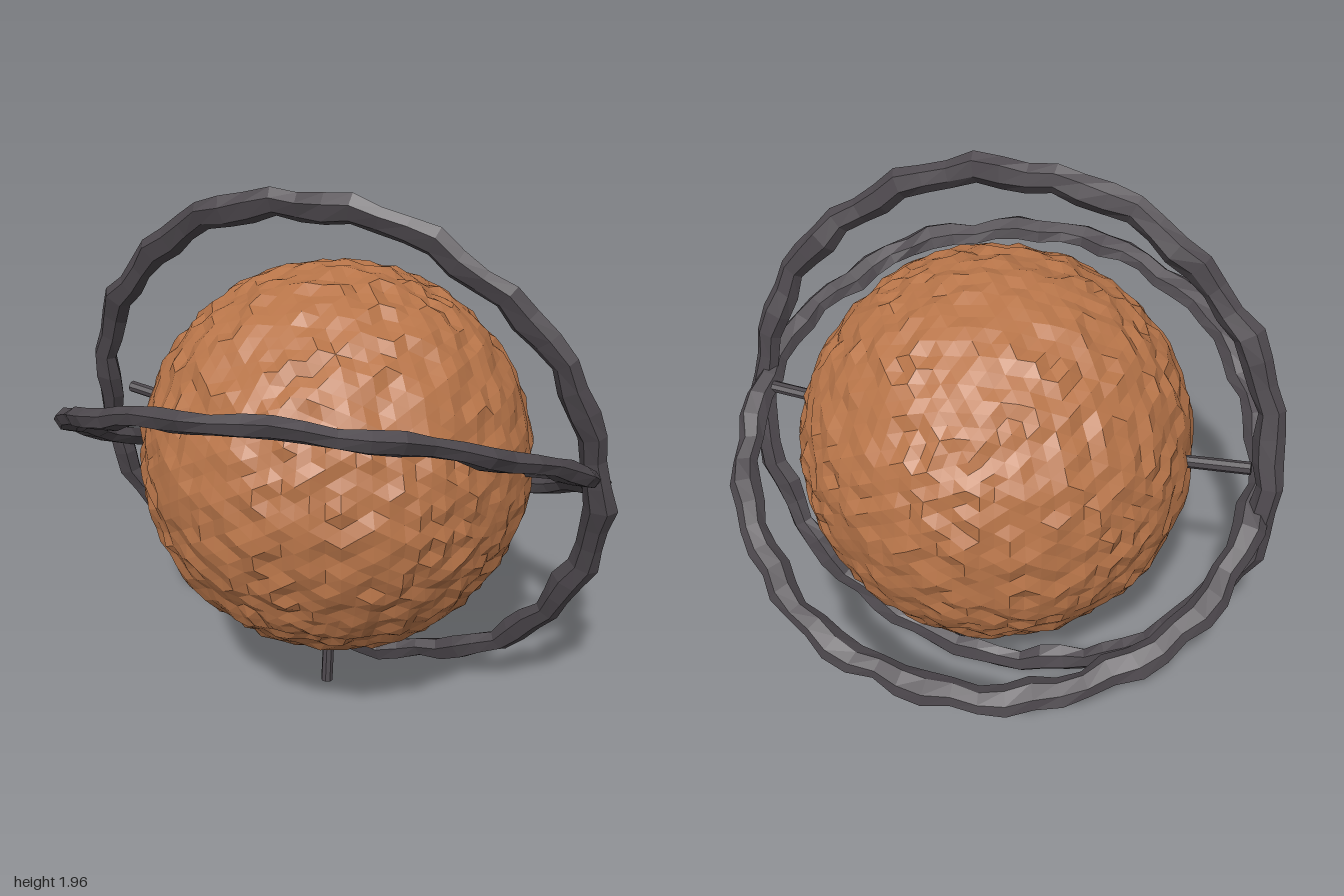
import * as THREE from 'three';

const copper = new THREE.MeshStandardMaterial({ color: 0xb87549, flatShading: true });
copper.name = 'copper rock';
const iron = new THREE.MeshStandardMaterial({ color: 0x4c474c, flatShading: true });
iron.name = 'dark iron';

const CENTRE = new THREE.Vector3(0.01, 1, -0.01);

// Repeatable noise in -1..1 from three numbers
function noise(a, b, c) {
  const s = Math.sin(a * 127.1 + b * 311.7 + c * 74.7) * 43758.5453;
  return 2 * (s - Math.floor(s)) - 1;
}

// Rough faceted ball: each corner is pushed in or out a little
function makeCore() {
  const geo = new THREE.IcosahedronGeometry(1, 15);
  const pos = geo.attributes.position;
  const v = new THREE.Vector3();
  for (let i = 0; i < pos.count; i++) {
    v.fromBufferAttribute(pos, i).normalize();
    const [a, b, c] = [v.x, v.y, v.z].map((n) => Math.round(n * 1000) / 10);
    v.multiplyScalar(0.69 + 0.012 * noise(a, b, c));
    pos.setXYZ(i, v.x, v.y, v.z);
  }
  geo.computeVertexNormals();
  const mesh = new THREE.Mesh(geo, copper);
  mesh.name = 'core';
  mesh.position.copy(CENTRE);
  return mesh;
}

// Lumpy hoop, wider than it is thick, lying across the given normal
function makeRing(name, radius, normal, seed) {
  const sides = 6, steps = 66;
  const geo = new THREE.TorusGeometry(radius, 0.04, sides, steps);
  const pos = geo.attributes.position;
  for (let j = 0; j <= sides; j++) {
    for (let i = 0; i <= steps; i++) {
      const t = (i / steps) * Math.PI * 2;
      const p = (j / sides) * Math.PI * 2;
      const k = i % steps, m = j % sides;
      const wobble = 0.009 * Math.sin(22 * t + seed) + 0.006 * Math.sin(9 * t + seed * 2);
      const swell = 1 + 0.12 * Math.sin(17 * t + seed) + 0.1 * noise(k, m, seed);
      const r = radius + wobble + 0.05 * swell * Math.cos(p);
      const z = 0.034 * swell * Math.sin(p) + 0.006 * Math.sin(13 * t + seed);
      pos.setXYZ(j * (steps + 1) + i, r * Math.cos(t), r * Math.sin(t), z);
    }
  }
  geo.computeVertexNormals();
  const mesh = new THREE.Mesh(geo, iron);
  mesh.name = name;
  mesh.quaternion.setFromUnitVectors(new THREE.Vector3(0, 0, 1), normal.normalize());
  mesh.position.set(0, 1, 0);
  return mesh;
}

// Thin rod from inside the ball out to a tip
function makePin(name, tip) {
  const dir = tip.clone().sub(CENTRE);
  const length = dir.length() - 0.6;
  dir.normalize();
  const mesh = new THREE.Mesh(new THREE.CylinderGeometry(0.022, 0.022, length, 8), iron);
  mesh.name = name;
  mesh.quaternion.setFromUnitVectors(new THREE.Vector3(0, 1, 0), dir);
  mesh.position.copy(CENTRE).addScaledVector(dir, 0.6 + length / 2);
  return mesh;
}

export function createModel() {
  const model = new THREE.Group();
  model.name = 'ringedBall';
  model.add(
    makeCore(),
    makeRing('uprightRing', 0.945, new THREE.Vector3(-0.17, -0.22, 1), 1.3),
    makeRing('tiltedRing', 0.92, new THREE.Vector3(0, 1, -0.53), 2.6),
    makePin('lowerPin', new THREE.Vector3(0.01, 0.12, 0.14)),
    makePin('rightPin', new THREE.Vector3(-0.86, 1.115, -0.19)),
    makePin('leftPin', new THREE.Vector3(0.87, 1.07, 0.11)),
  );
  return model;
}
